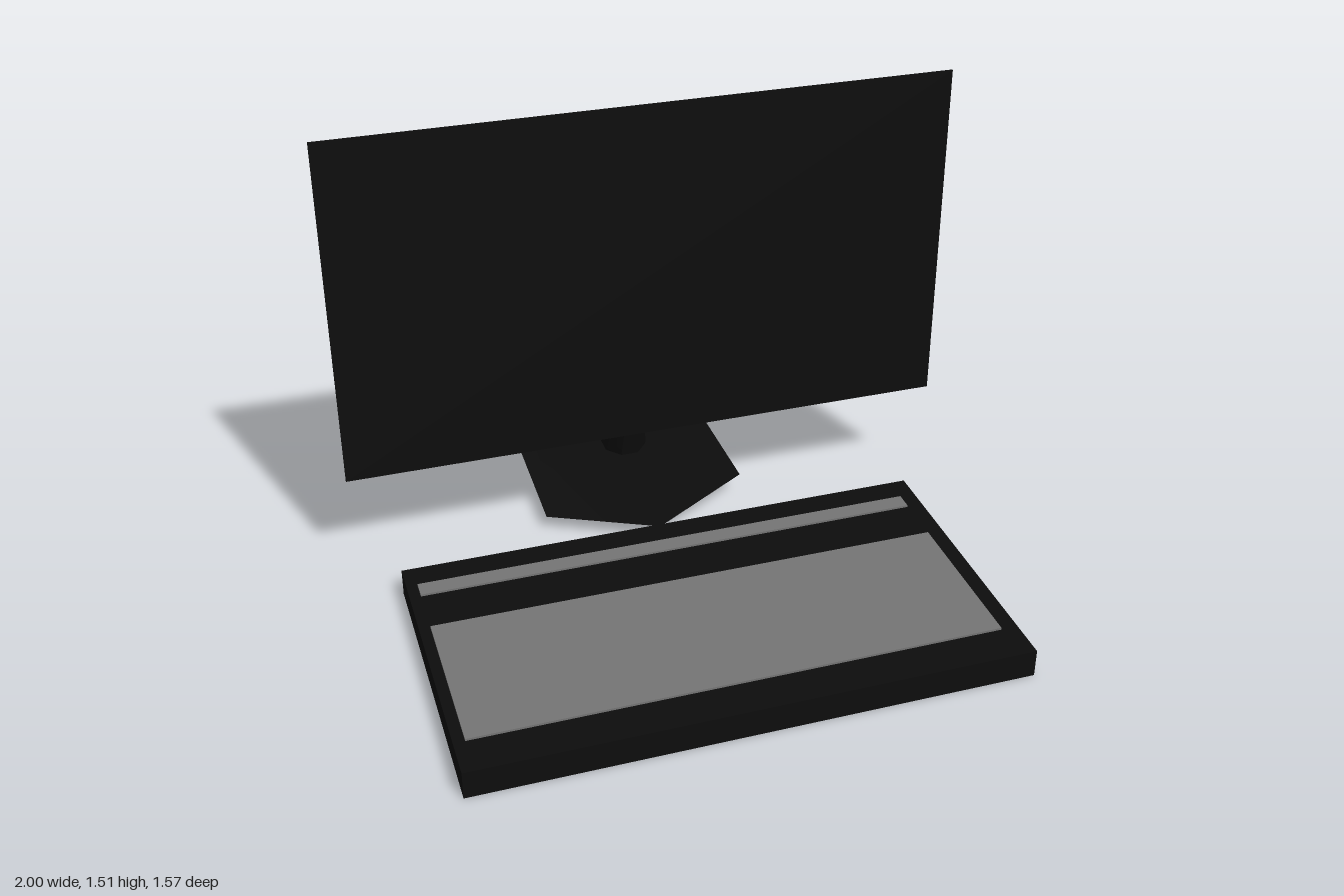
import * as THREE from 'three';
import { toCreasedNormals } from 'three/addons/utils/BufferGeometryUtils.js';

const black = new THREE.MeshStandardMaterial({ color: 0x0d0d0d, side: THREE.DoubleSide });
black.name = 'matt black';
const grey = new THREE.MeshStandardMaterial({ color: 0x757575 });
grey.name = 'key grey';

// Skin a list of equal-length closed rings of [x, y, z], with fan caps
function loft(rings) {
  const n = rings[0].length, index = [];
  for (let r = 0; r < rings.length - 1; r++) {
    for (let i = 0; i < n; i++) {
      const a = r * n + i, b = r * n + (i + 1) % n;
      index.push(a, b, b + n, a, b + n, a + n);
    }
  }
  const last = (rings.length - 1) * n;
  for (let i = 1; i < n - 1; i++) {
    index.push(0, i + 1, i, last, last + i, last + i + 1);
  }
  return faces(rings.flat(), index);
}

function faces(points, index) {
  const g = new THREE.BufferGeometry();
  g.setAttribute('position', new THREE.Float32BufferAttribute(points.flat(), 3));
  g.setIndex(index);
  return toCreasedNormals(g, 0.5);
}

export function createModel() {
  const model = new THREE.Group();
  model.name = 'monitorAndKeyboard';

  const add = (name, geometry, material) => {
    const mesh = new THREE.Mesh(geometry, material);
    mesh.name = name;
    model.add(mesh);
  };
  // Box from its lower and upper limits on each axis
  const box = (name, [x0, x1], [y0, y1], [z0, z1], material) => {
    const g = new THREE.BoxGeometry(x1 - x0, y1 - y0, z1 - z0);
    g.translate((x0 + x1) / 2, (y0 + y1) / 2, (z0 + z1) / 2);
    add(name, g, material);
  };

  // Keyboard slab with two raised key fields
  box('keyboardBody', [-0.87, 0.87], [0, 0.091], [-0.188, 0.785], black);
  box('functionKeys', [-0.835, 0.815], [0.091, 0.098], [-0.093, -0.035], grey);
  box('mainKeys', [-0.835, 0.815], [0.091, 0.098], [0.13, 0.66], grey);

  // Thin screen panel
  box('screen', [-1, 1], [0.367, 1.51], [-0.333, -0.328], black);

  // Housing behind the screen: sides slope inward, lower back edge bevelled
  const outline = (y, zBack) => [
    [-0.56, y, -0.39], [0.56, y, -0.39], [0.535, y, -0.445],
    [0.495, y, zBack + 0.01], [0.45, y, zBack],
    [-0.45, y, zBack], [-0.495, y, zBack + 0.01], [-0.535, y, -0.445],
  ];
  add('rearHousing', loft([
    outline(0.546, -0.51), outline(0.565, -0.525), outline(0.98, -0.51),
  ]), black);

  // Pointed bracket joining the neck to the screen
  add('neckBracket', faces([
    [-0.2, 0.362, -0.393], [0.2, 0.362, -0.393],
    [0.2, 0.57, -0.4], [-0.2, 0.57, -0.4], [0, 0.465, -0.445],
  ], [0, 1, 2, 0, 2, 3, 1, 0, 4, 2, 1, 4, 3, 2, 4, 0, 3, 4]), black);

  // Bent neck: octagonal sections between an inner and an outer [y, z] point
  const section = (inner, outer, halfWidth) => Array.from({ length: 8 }, (_, i) => {
    const a = (i + 0.5) * Math.PI / 4, k = 1 / Math.cos(Math.PI / 8);
    const t = 0.5 + 0.5 * k * Math.sin(a);
    return [
      halfWidth * k * Math.cos(a),
      inner[0] + (outer[0] - inner[0]) * t,
      inner[1] + (outer[1] - inner[1]) * t,
    ];
  });
  add('neck', loft([
    section([0.397, -0.393], [0.505, -0.393], 0.04),
    section([0.397, -0.52], [0.49, -0.573], 0.035),
    section([0.16, -0.573], [0.16, -0.715], 0.068),
    section([0.13, -0.58], [0.128, -0.755], 0.072),
  ]), black);

  // Slightly warped pentagonal foot plate, pointing forward
  add('standBase', faces([
    [0, 0.065, -0.212], [0.345, 0.088, -0.4], [0.345, 0.084, -0.788],
    [-0.345, 0.084, -0.788], [-0.345, 0.052, -0.4],
  ], [0, 1, 2, 0, 2, 3, 0, 3, 4]), black);

  return model;
}
